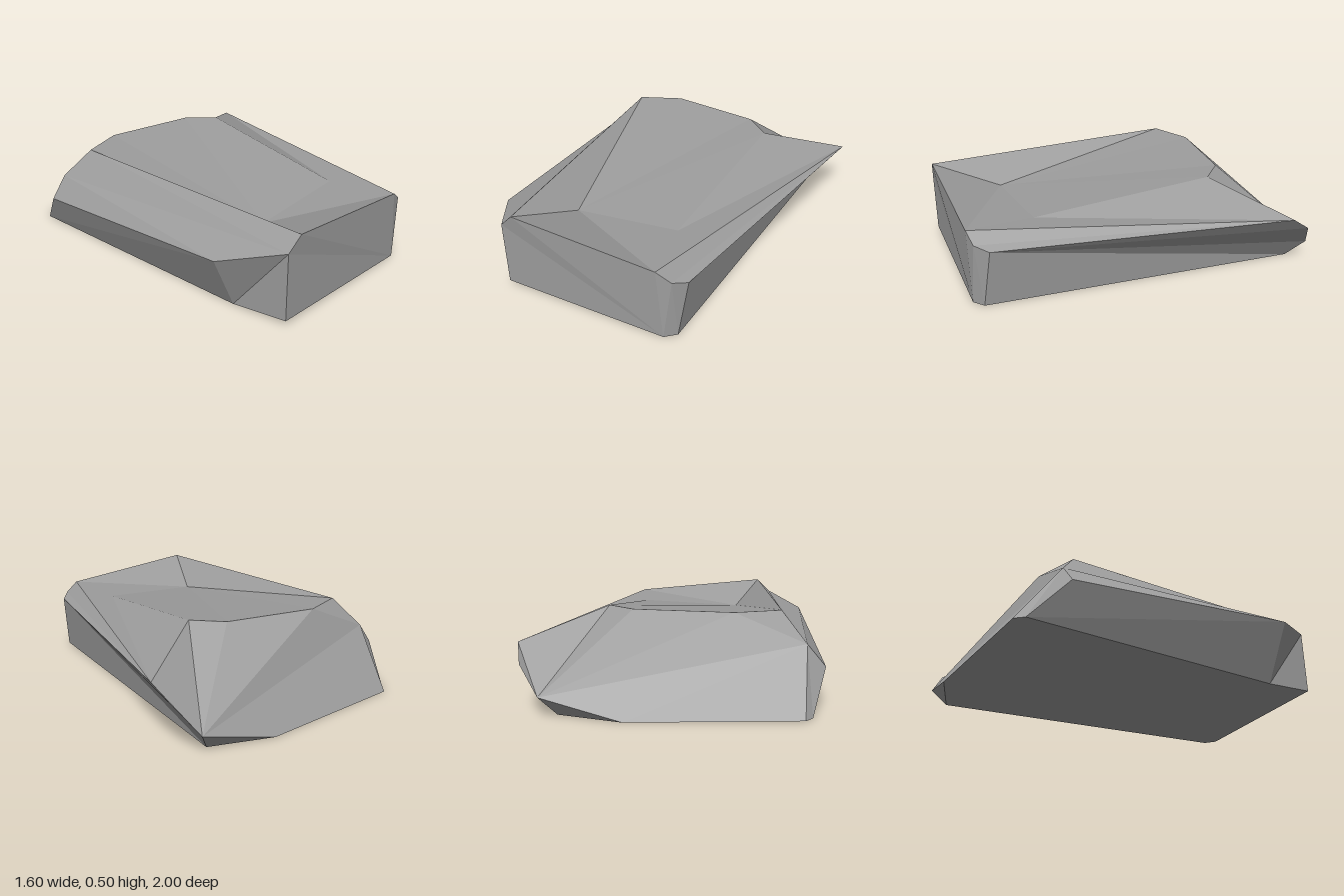
import * as THREE from 'three';

// Corners of the boulder
const P = {
  // dished top and its rim
  A: [-0.57, 0.5, -0.56], B: [-0.32, 0.5, -0.66], C: [0.22, 0.5, -0.58], D: [0.37, 0.5, -0.44],
  E: [0.28, 0.385, 0.59], Q: [-0.33, 0.35, 0.62],
  // upper front
  L: [-0.49, 0.49, 1], M: [-0.57, 0.41, 0.99], R: [0.35, 0.41, 0.98], N: [0.43, 0.355, 0.96],
  // widest outline
  O: [0.49, 0.33, 0.89], V: [0.8, 0.35, -0.76], Z: [0.76, 0.26, -0.89], Y: [0.65, 0.11, -0.97],
  U: [-0.7, 0.34, -0.67], T: [-0.8, 0.22, -0.66], S: [-0.77, 0.33, 0.69],
  // base outline
  m: [-0.57, 0.03, 0.99], a: [0.39, 0, 0.98], b: [0.45, 0, 0.93], d: [0.57, 0, -0.89],
  X: [0.22, 0, -1], W: [-0.68, 0, -0.91], n: [-0.72, 0, -0.86], k: [-0.61, 0, 0.67],
};

// Each part is a list of facets; a facet is a fan of corners around its first letter
const PARTS = {
  topHollow: ['QEDCBA', 'QLRE'],
  rightSlope: ['VDERNO'],
  leftSlope: ['UTSMA', 'AMLQ'],
  backSlope: ['ABU', 'UBYX', 'UXW', 'YBCDVZ'],
  frontFace: ['aNRLMm', 'NabO'],
  rightFace: ['ObdYZV'],
  leftFace: ['STnk', 'MSkm', 'UWnT'],
  underside: ['knWXdba', 'amk', 'dXY'],
};

function facets(list) {
  const pos = [];
  for (const f of list) {
    for (let i = 1; i < f.length - 1; i++) {
      pos.push(...P[f[0]], ...P[f[i]], ...P[f[i + 1]]);
    }
  }
  const geo = new THREE.BufferGeometry();
  geo.setAttribute('position', new THREE.Float32BufferAttribute(pos, 3));
  geo.computeVertexNormals(); // unshared corners give flat facets
  return geo;
}

export function createModel() {
  const stone = new THREE.MeshStandardMaterial({ color: 0x9c9c9c });
  stone.name = 'stone grey';
  const rock = new THREE.Group();
  rock.name = 'rock';
  for (const [name, list] of Object.entries(PARTS)) {
    const mesh = new THREE.Mesh(facets(list), stone);
    mesh.name = name;
    rock.add(mesh);
  }
  return rock;
}
